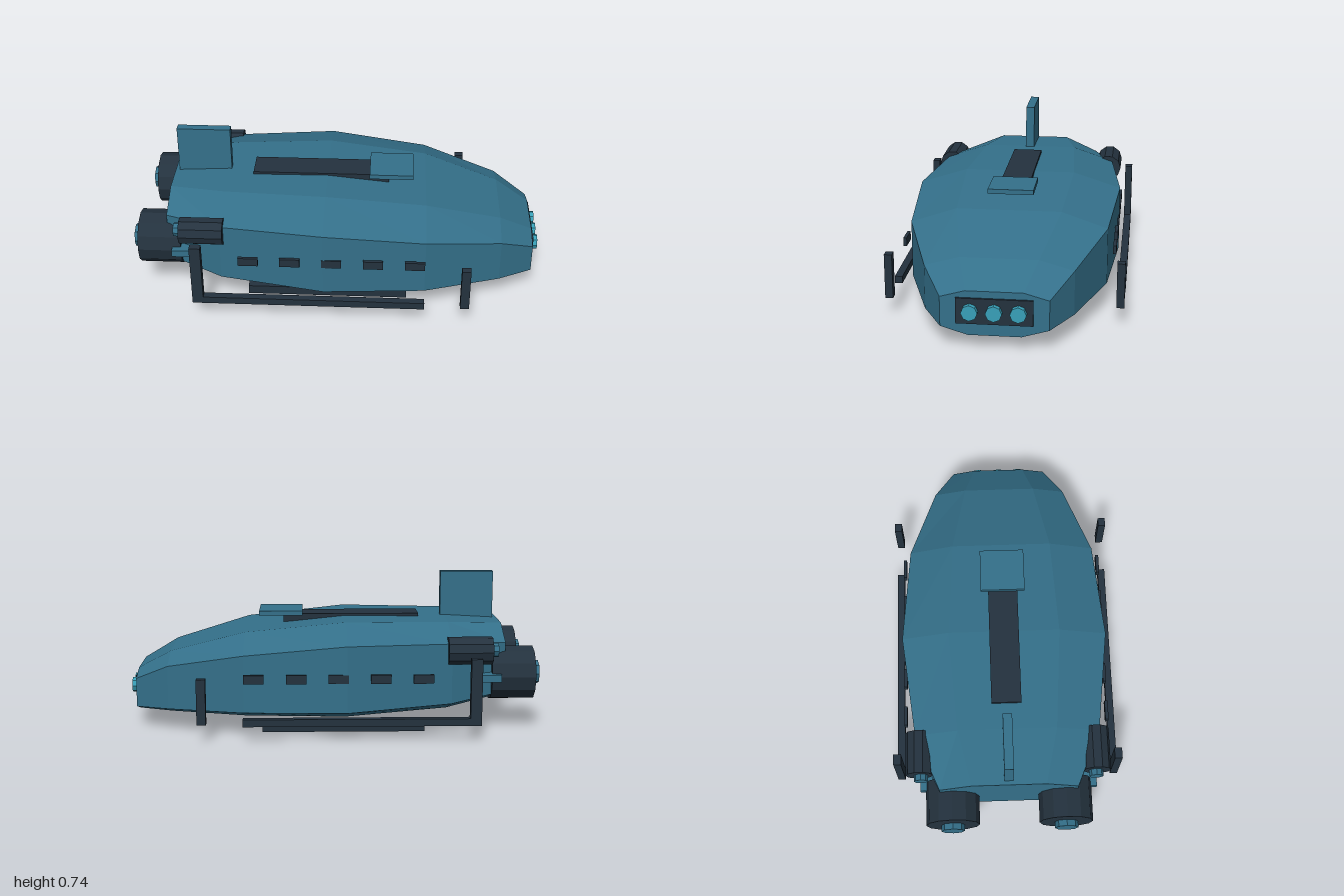
import * as THREE from 'three';

const paint = (color) => new THREE.MeshStandardMaterial({ color, flatShading: true });

// Hull: eight-sided cross-sections lofted along x, closed at both ends
function hullGeometry() {
  // x, side half-width, roof half-width, belly half-width, roof y, upper side y, lower side y, belly y
  const stations = [
    [-0.83, 0.335, 0.18, 0.165, 0.50, 0.43, 0.19, 0.135],
    [-0.56, 0.45, 0.24, 0.22, 0.515, 0.445, 0.155, 0.08],
    [-0.06, 0.51, 0.275, 0.245, 0.52, 0.445, 0.125, 0.042],
    [0.43, 0.47, 0.25, 0.23, 0.47, 0.395, 0.12, 0.047],
    [0.80, 0.34, 0.18, 0.165, 0.365, 0.32, 0.11, 0.057],
    [0.965, 0.243, 0.13, 0.12, 0.272, 0.24, 0.10, 0.063],
  ];
  const rings = stations.map(([x, side, roof, belly, yTop, yUp, yLow, yBot]) => [
    [roof, yTop], [side, yUp], [side, yLow], [belly, yBot],
    [-belly, yBot], [-side, yLow], [-side, yUp], [-roof, yTop],
  ].map(([z, y]) => [x, y, z]));
  const pos = [];
  const tri = (a, b, c) => pos.push(...a, ...b, ...c);
  for (let i = 0; i < rings.length - 1; i++) {
    for (let j = 0; j < 8; j++) {
      const k = (j + 1) % 8;
      const a = rings[i][j], b = rings[i][k], c = rings[i + 1][k], d = rings[i + 1][j];
      tri(a, b, c);
      tri(a, c, d);
    }
  }
  const tail = rings[0], nose = rings[rings.length - 1];
  for (let j = 1; j < 7; j++) {
    tri(tail[0], tail[j + 1], tail[j]);
    tri(nose[0], nose[j], nose[j + 1]);
  }
  const geo = new THREE.BufferGeometry();
  geo.setAttribute('position', new THREE.Float32BufferAttribute(pos, 3));
  geo.computeVertexNormals();
  return geo;
}

export function createModel() {
  const model = new THREE.Group();
  model.name = 'shuttle';
  const blue = paint(0x34708a), dark = paint(0x24323e), glow = paint(0x38a0b8);

  const add = (name, geo, mat) => {
    const mesh = new THREE.Mesh(geo, mat);
    mesh.name = name;
    model.add(mesh);
    return mesh;
  };
  // Box given by its extents on each axis
  const box = (name, mat, [x0, x1], [y0, y1], [z0, z1]) =>
    add(name, new THREE.BoxGeometry(x1 - x0, y1 - y0, Math.abs(z1 - z0)), mat)
      .position.set((x0 + x1) / 2, (y0 + y1) / 2, (z0 + z1) / 2);
  // Cylinder lying along x
  const tube = (name, mat, r, sides, [x0, x1], y, z) =>
    add(name, new THREE.CylinderGeometry(r, r, x1 - x0, sides).rotateZ(-Math.PI / 2), mat)
      .position.set((x0 + x1) / 2, y, z);

  add('hull', hullGeometry(), blue);

  // Roof
  box('tailFin', blue, [-0.81, -0.545], [0.47, 0.735], [-0.022, 0.022]);
  box('roofStrip', dark, [-0.43, 0.245], [0.49, 0.53], [-0.073, 0.073]);
  box('roofPlate', blue, [0.15, 0.365], [0.527, 0.55], [-0.11, 0.11]);

  // Nose panel with three lamps
  box('nosePanel', dark, [0.955, 0.975], [0.12, 0.24], [-0.172, 0.172]);
  for (const z of [-0.108, 0, 0.108]) tube('noseLamp', glow, 0.037, 8, [0.965, 1], 0.18, z);

  // Parts mirrored on both sides
  for (const s of [1, -1]) {
    tube('mainEngine', dark, 0.131, 12, [-0.97, -0.76], 0.272, s * 0.277);
    tube('mainNozzle', blue, 0.057, 8, [-1, -0.95], 0.272, s * 0.277);
    tube('upperThruster', dark, 0.066, 10, [-0.75, -0.54], 0.41, s * 0.432);
    tube('upperNozzle', blue, 0.034, 8, [-0.78, -0.74], 0.41, s * 0.425);
    box('enginePylon', blue, [-0.8, -0.66], [0.255, 0.29], [s * 0.33, s * 0.435]);

    box('sideRail', dark, [-0.69, 0.43], [0.075, 0.11], [s * 0.523, s * 0.56]);
    box('rearPost', dark, [-0.69, -0.637], [0.11, 0.392], [s * 0.523, s * 0.56]);
    box('frontPost', dark, [0.602, 0.645], [0.085, 0.302], [s * 0.523, s * 0.56]);
    box('landingSkid', dark, [-0.44, 0.345], [0, 0.045], [s * 0.305, s * 0.372]);

    for (let i = 0; i < 5; i++) {
      const x = -0.42 + i * 0.2;
      box('sideWindow', dark, [x - 0.048, x + 0.048], [0.268, 0.31], [s * 0.496, s * 0.512]);
    }
  }
  return model;
}
